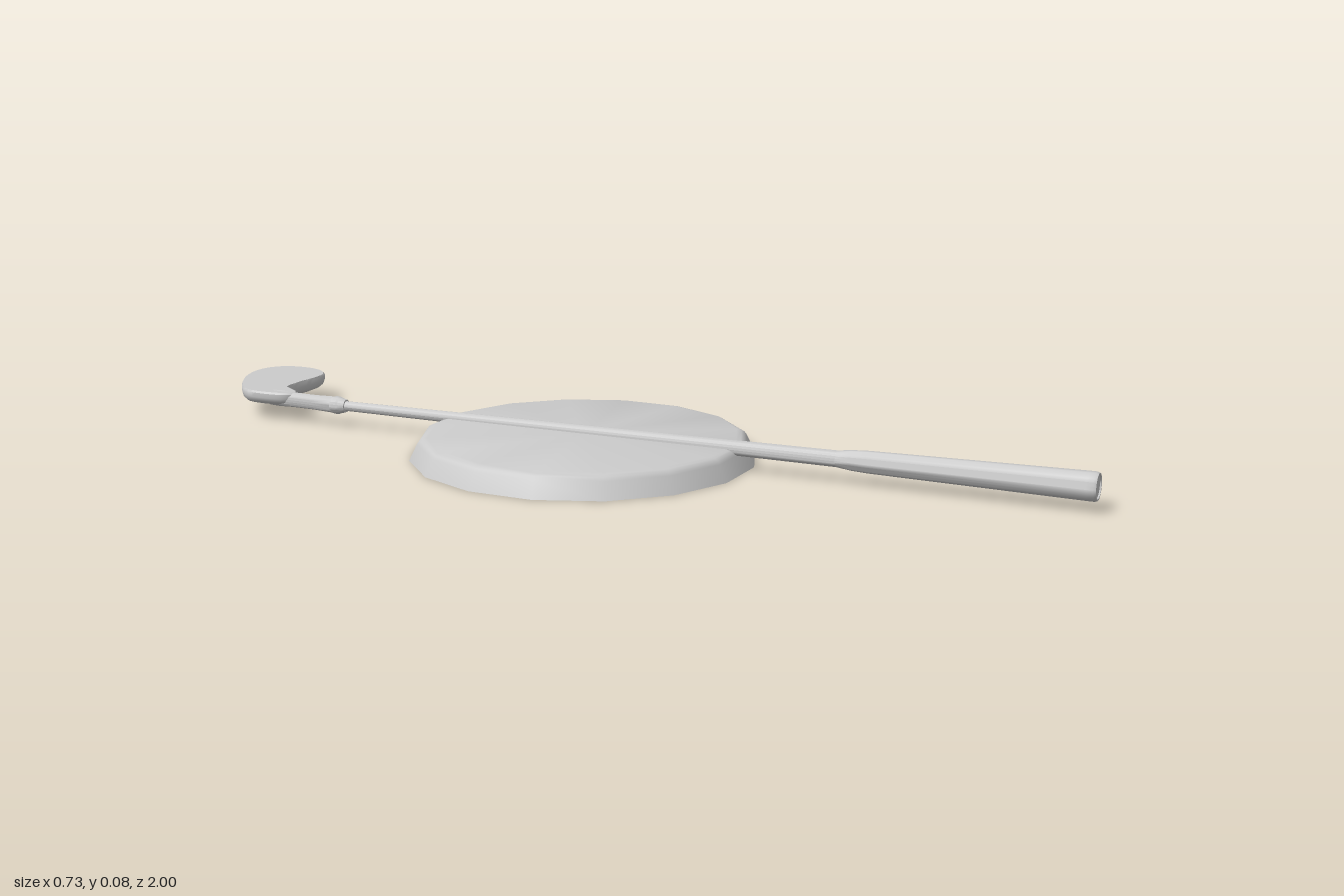
import * as THREE from 'three';
import { toCreasedNormals } from 'three/addons/utils/BufferGeometryUtils.js';

const material = new THREE.MeshStandardMaterial({ color: 0xcccccc, side: THREE.DoubleSide });

// Turned part from [radius, height] pairs
function turned(name, profile, segments, crease) {
  const points = profile.map(([r, h]) => new THREE.Vector2(r, h));
  const geometry = toCreasedNormals(new THREE.LatheGeometry(points, segments), crease);
  const mesh = new THREE.Mesh(geometry, material);
  mesh.name = name;
  return mesh;
}

// Club head: one outline lofted through shrinking rings, flat on top, rounded below
function clubHead() {
  const outline = [
    [-0.15, -0.745], [-0.174, -0.76], [-0.196, -0.845], [-0.184, -0.88], [-0.14, -0.932], [-0.085, -0.975],
    [-0.035, -0.997], [0.01, -0.998], [0.045, -0.975], [0.064, -0.925], [0.06, -0.878],
    [0.035, -0.843], [0, -0.829], [-0.06, -0.822], [-0.11, -0.81], [-0.133, -0.795], [-0.138, -0.76],
  ].map(([x, z]) => new THREE.Vector3(x, 0, z));
  const n = 64;
  const ring = new THREE.CatmullRomCurve3(outline, true).getSpacedPoints(n).slice(0, n);
  const cx = -0.085, cz = -0.89;
  const rings = [[0, 0.066], [0.97, 0.066], [1, 0.062], [1, 0.052], [0.97, 0.043], [0.9, 0.037], [0.78, 0.033], [0, 0.031]];
  const positions = [], index = [];
  rings.forEach(([scale, y], j) => {
    ring.forEach((p, i) => {
      positions.push(cx + (p.x - cx) * scale, y, cz + (p.z - cz) * scale);
      if (j === 0) return;
      const a = (j - 1) * n + i, b = (j - 1) * n + (i + 1) % n;
      if (j > 1) index.push(a, b, b + n);
      if (j < rings.length - 1) index.push(a, b + n, a + n);
      else index.push(a, b, a + n);
    });
  });
  // Close the top fan
  for (let i = 0; i < n; i++) index.push(i, n + (i + 1) % n, n + i);
  const geometry = new THREE.BufferGeometry();
  geometry.setAttribute('position', new THREE.Float32BufferAttribute(positions, 3));
  // Face the loop outward whichever way the outline runs
  const area = ring.reduce((s, p, i) => {
    const q = ring[(i + 1) % n];
    return s + p.z * q.x - q.z * p.x;
  }, 0);
  const ordered = [];
  for (let i = 0; i < index.length; i += 3) {
    const [a, b, c] = index.slice(i, i + 3);
    const up = i >= index.length - n * 3;
    // Positive area means the outline turns anticlockwise seen from above
    const flip = up ? area > 0 : area > 0;
    ordered.push(a, ...(flip ? [c, b] : [b, c]));
  }
  geometry.setIndex(ordered);
  const mesh = new THREE.Mesh(toCreasedNormals(geometry, 0.7), material);
  mesh.name = 'clubHead';
  return mesh;
}

// Lay a turned part along a line from one point toward another
function layAlong(mesh, from, to) {
  mesh.position.copy(from);
  mesh.quaternion.setFromUnitVectors(new THREE.Vector3(0, 1, 0), to.clone().sub(from).normalize());
  return mesh;
}

export function createModel() {
  const model = new THREE.Group();
  model.name = 'clubOnDisc';

  // Hollow sixteen-sided disc, open underneath
  const disc = turned('baseDisc', [
    [0.364, 0], [0.347, 0.035], [0.342, 0.042], [0.335, 0.046], [0.325, 0.048], [0, 0.048],
  ], 16, 0.9);
  disc.position.z = -0.045;
  model.add(disc);

  const club = new THREE.Group();
  club.name = 'club';
  const neck = new THREE.Vector3(-0.13, 0.049, -0.635);
  const butt = new THREE.Vector3(0.258, 0.049, 0.993);

  // Tapered shaft
  club.add(layAlong(turned('shaft', [[0.0105, -0.02], [0.017, 1.2]], 20, 0.7), neck, butt));

  // Grip, widening to a butt with a shallow recessed cap
  club.add(layAlong(turned('grip', [
    [0.016, 1.15], [0.0205, 1.185], [0.0225, 1.22], [0.029, 1.655], [0.029, 1.668], [0.027, 1.673],
    [0.024, 1.673], [0.023, 1.67], [0, 1.67],
  ], 24, 0.6), neck, butt));

  // Ferrule collar
  club.add(layAlong(turned('ferrule', [
    [0, -0.012], [0.018, -0.012], [0.0195, -0.006], [0.0195, 0.004], [0.018, 0.008], [0.014, 0.022], [0, 0.022],
  ], 20, 0.6), neck, butt));

  // Hosel blending into the heel
  const heel = new THREE.Vector3(-0.166, 0.049, -0.83);
  club.add(layAlong(turned('hosel', [
    [0, 0], [0.0185, 0], [0.0165, 0.06], [0.0165, 0.12], [0.018, 0.155], [0.017, 0.18], [0.01, 0.195], [0, 0.2],
  ], 20, 0.7), neck, heel));

  club.add(clubHead());
  model.add(club);
  return model;
}
